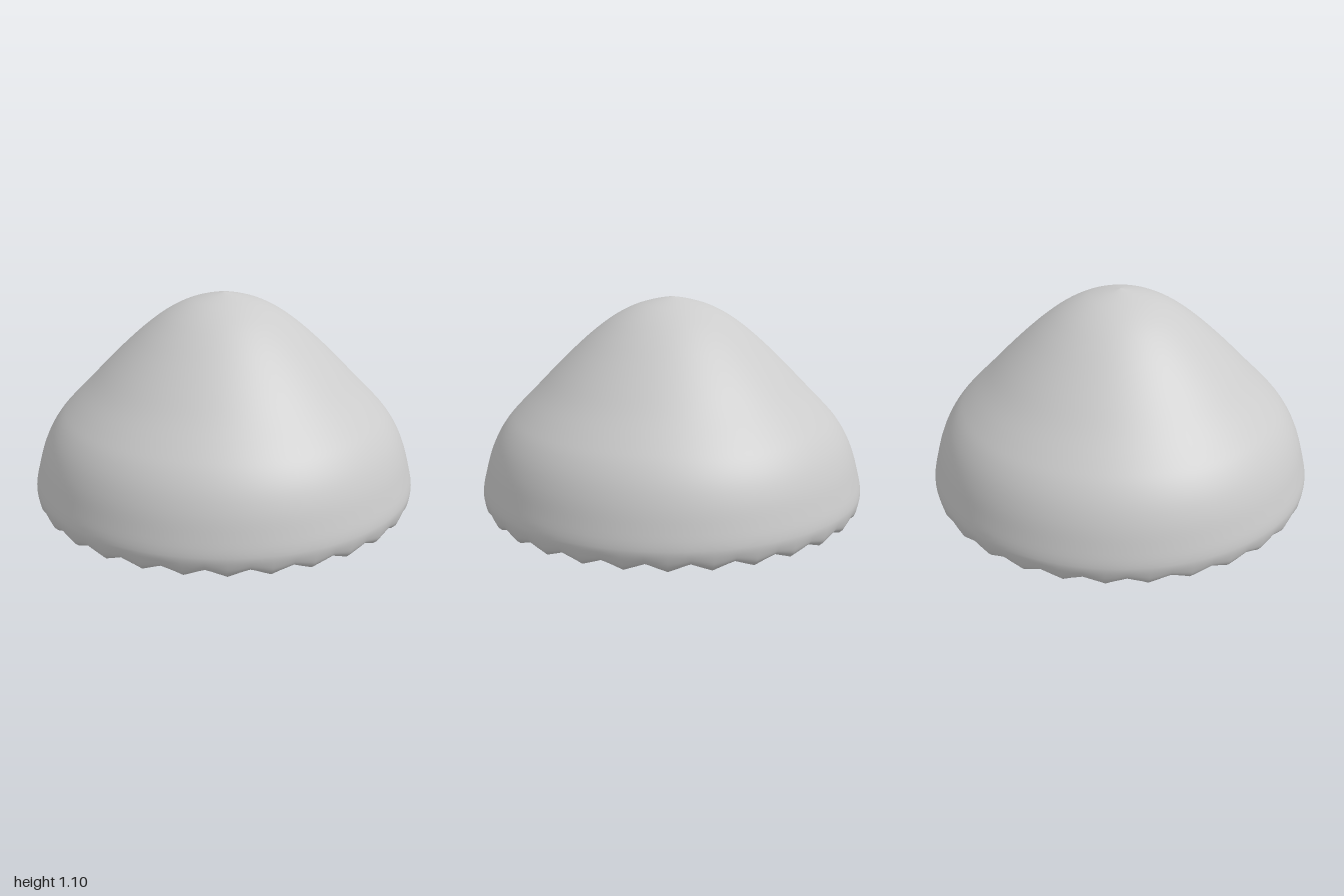
import * as THREE from 'three';

const PLEATS = 30;
const STEPS_PER_PLEAT = 4; // valley, flank, ridge, flank
const SEGMENTS = PLEATS * STEPS_PER_PLEAT;

// Surface of revolution from [radius, height, pleat depth] points, ordered so that faces point outward.
function pleatedSurface(profile, steps) {
  const curve = new THREE.CatmullRomCurve3(profile.map(p => new THREE.Vector3(...p)), false, 'centripetal');
  const rings = curve.getPoints(steps);
  const positions = [];
  const indices = [];
  rings.forEach(ring => {
    const r = Math.max(ring.x, 0.0005);
    for (let j = 0; j < SEGMENTS; j++) {
      const a = (j / SEGMENTS) * Math.PI * 2;
      positions.push(r * Math.sin(a), ring.y + ring.z * Math.cos(PLEATS * a), r * Math.cos(a));
    }
  });
  for (let i = 0; i < rings.length - 1; i++) {
    for (let j = 0; j < SEGMENTS; j++) {
      const k = (j + 1) % SEGMENTS;
      const a = i * SEGMENTS + j, b = i * SEGMENTS + k;
      const c = a + SEGMENTS, d = b + SEGMENTS;
      indices.push(a, c, b, b, c, d);
    }
  }
  const geometry = new THREE.BufferGeometry();
  geometry.setAttribute('position', new THREE.Float32BufferAttribute(positions, 3));
  geometry.setIndex(indices);
  geometry.computeVertexNormals();
  return geometry;
}

export function createModel() {
  const group = new THREE.Group();
  group.name = 'mushroomCap';
  const material = new THREE.MeshStandardMaterial({ color: 0xcccccc, side: THREE.DoubleSide });

  // Smooth outer dome, from the crown down to the scalloped rim
  const dome = new THREE.Mesh(pleatedSurface([
    [0, 1.108, 0], [0.1, 1.089, 0], [0.2, 1.058, 0], [0.3, 1.006, 0], [0.4, 0.933, 0],
    [0.5, 0.845, 0], [0.6, 0.748, 0], [0.7, 0.644, 0], [0.8, 0.542, 0], [0.865, 0.469, 0],
    [0.915, 0.392, 0], [0.953, 0.305, 0], [0.98, 0.21, 0], [1, 0.115, 0],
    [0.995, 0.07, 0.005], [0.982, 0.038, 0.012], [0.96, 0.022, 0.018],
  ], 64), material);
  dome.name = 'dome';

  // Pleated underside, a shallow vault from the rim up to the centre
  const gills = new THREE.Mesh(pleatedSurface([
    [0.96, 0.022, 0.018], [0.93, 0.042, 0.022], [0.86, 0.09, 0.027], [0.76, 0.148, 0.03],
    [0.6, 0.215, 0.031], [0.42, 0.262, 0.029], [0.25, 0.282, 0.023], [0.12, 0.28, 0.014],
    [0.05, 0.27, 0.006], [0, 0.265, 0],
  ], 40), material);
  gills.name = 'gills';

  group.add(dome, gills);
  return group;
}
